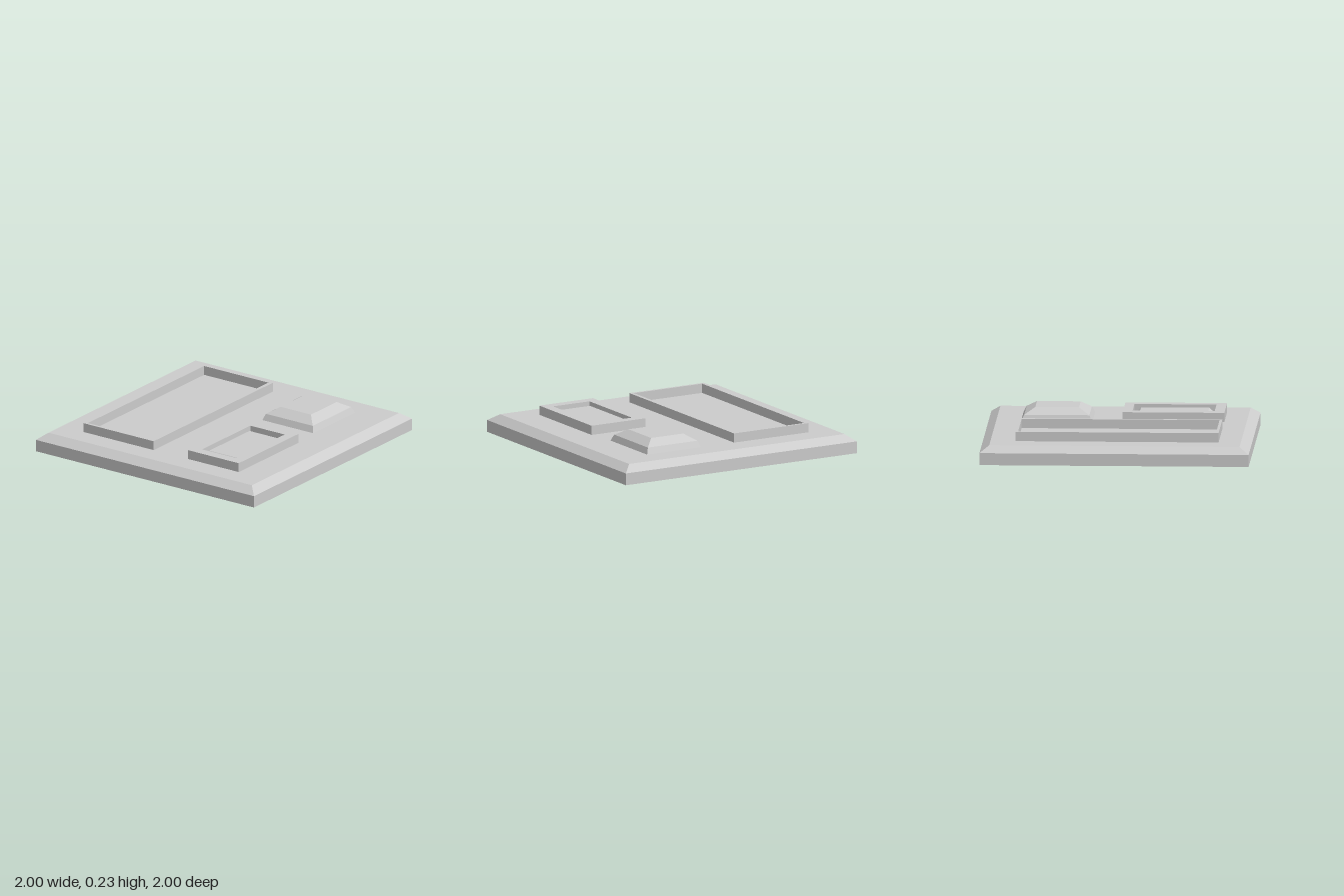
import * as THREE from 'three';

const material = new THREE.MeshStandardMaterial({ color: 0xcccccc, flatShading: true });
const DECK = 0.14; // height of the plate's upper face

// Closed solid from stacked rectangles, each [x0, x1, z0, z1, y], bottom to top.
function stackedSolid(name, rings) {
  const positions = [];
  const index = [];
  for (const [x0, x1, z0, z1, y] of rings) {
    positions.push(x0, y, z1, x1, y, z1, x1, y, z0, x0, y, z0);
  }
  for (let r = 0; r < rings.length - 1; r++) {
    for (let i = 0; i < 4; i++) {
      const a = r * 4 + i;
      const b = r * 4 + (i + 1) % 4;
      index.push(a, b, b + 4, a, b + 4, a + 4);
    }
  }
  const t = (rings.length - 1) * 4;
  index.push(0, 2, 1, 0, 3, 2, t, t + 1, t + 2, t, t + 2, t + 3);
  const indexed = new THREE.BufferGeometry();
  indexed.setAttribute('position', new THREE.Float32BufferAttribute(positions, 3));
  indexed.setIndex(index);
  const geometry = indexed.toNonIndexed();
  geometry.computeVertexNormals();
  const mesh = new THREE.Mesh(geometry, material);
  mesh.name = name;
  return mesh;
}

// Rectangular frame standing on the plate; outer and inner are [x0, x1, z0, z1].
function rectFrame(name, outer, inner, height) {
  const corners = ([x0, x1, z0, z1]) => [
    new THREE.Vector2(x0, -z1), new THREE.Vector2(x1, -z1),
    new THREE.Vector2(x1, -z0), new THREE.Vector2(x0, -z0),
  ];
  const shape = new THREE.Shape(corners(outer));
  shape.holes.push(new THREE.Path(corners(inner).reverse()));
  const geometry = new THREE.ExtrudeGeometry(shape, { depth: height, bevelEnabled: false });
  geometry.rotateX(-Math.PI / 2);
  geometry.translate(0, DECK, 0);
  const mesh = new THREE.Mesh(geometry, material);
  mesh.name = name;
  return mesh;
}

export function createModel() {
  const model = new THREE.Group();
  model.name = 'controlPanel';

  // Square plate with a chamfered upper edge
  model.add(stackedSolid('basePlate', [
    [-1, 1, -1, 1, 0],
    [-1, 1, -1, 1, 0.09],
    [-0.93, 0.93, -0.935, 0.93, DECK],
  ]));

  // Wide thin-walled frame at the back
  model.add(rectFrame('displayFrame',
    [-0.765, 0.745, -0.735, -0.09], [-0.745, 0.725, -0.708, -0.118], 0.07));

  // Thick frame with a tapered key sunk inside it
  model.add(rectFrame('keyFrame',
    [-0.765, -0.01, 0.225, 0.69], [-0.69, -0.08, 0.3, 0.615], 0.07));
  model.add(stackedSolid('sunkenKey', [
    [-0.69, -0.08, 0.3, 0.615, DECK],
    [-0.637, -0.13, 0.328, 0.588, 0.19],
  ]));

  // Raised button with two tapering steps
  model.add(stackedSolid('raisedButton', [
    [0.215, 0.745, 0.195, 0.662, DECK],
    [0.237, 0.722, 0.213, 0.642, 0.187],
    [0.317, 0.642, 0.288, 0.567, 0.235],
  ]));

  return model;
}
